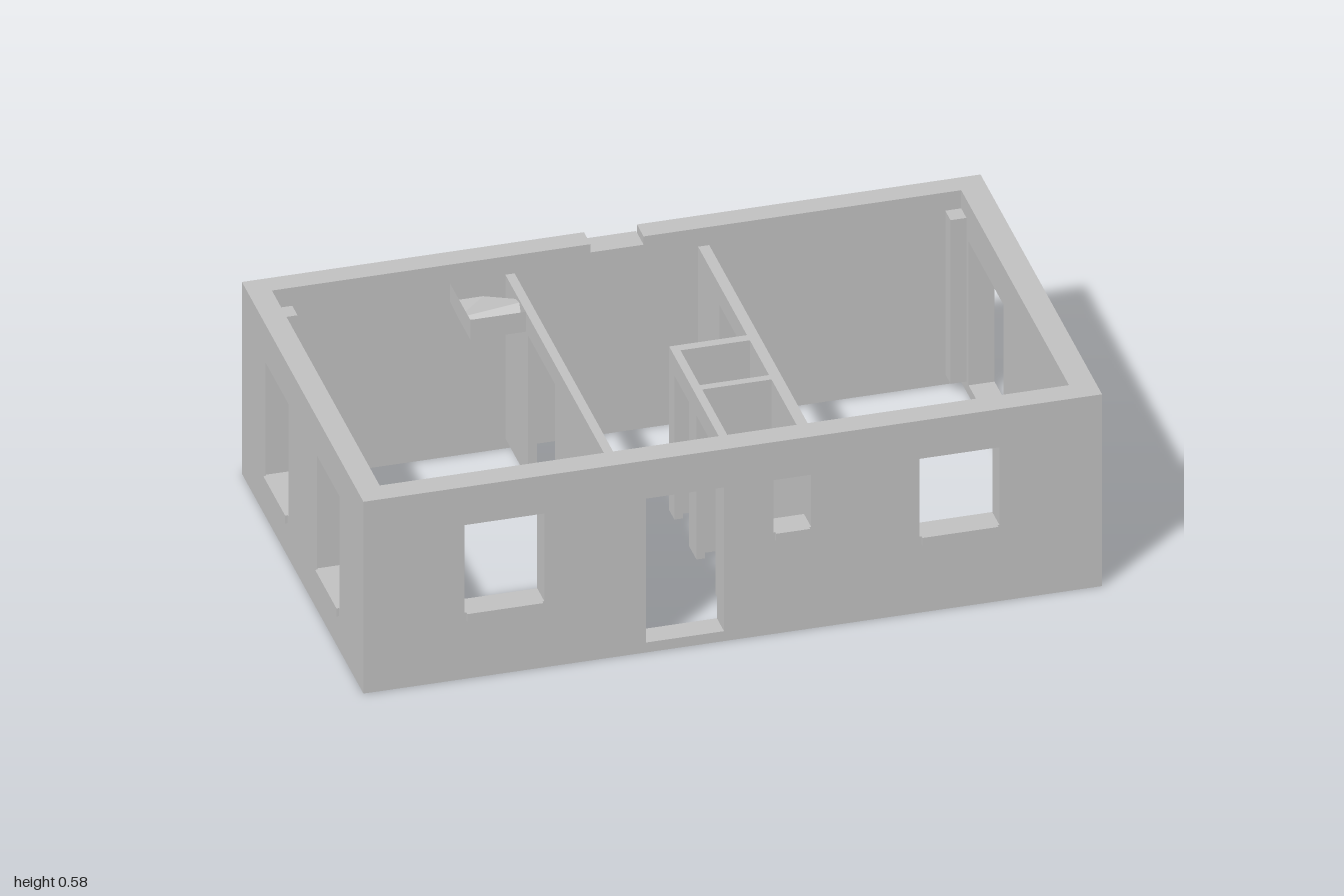
import * as THREE from 'three';

export function createModel() {
  const model = new THREE.Group();
  model.name = 'floorPlan';
  const plaster = new THREE.MeshStandardMaterial({ color: 0xc0c0c0 });
  plaster.name = 'plaster';
  const plasterSheet = new THREE.MeshStandardMaterial({ color: 0xc0c0c0, side: THREE.DoubleSide });
  plasterSheet.name = 'plasterSheet';

  const add = (name, geometry, material = plaster) => {
    const mesh = new THREE.Mesh(geometry, material);
    mesh.name = name;
    model.add(mesh);
  };

  const box = (name, x0, x1, y0, y1, z0, z1) => {
    const g = new THREE.BoxGeometry(x1 - x0, y1 - y0, z1 - z0);
    add(name, g.translate((x0 + x1) / 2, (y0 + y1) / 2, (z0 + z1) / 2));
  };

  // Wall running along 'x' or 'z' from u0 to u1, between t0 and t1 across.
  // Openings are [u0, u1, y0, y1]; those touching the base or top become notches.
  const wall = (name, axis, [u0, u1], [y0, y1], [t0, t1], openings = []) => {
    const pts = [[u0, y0]];
    for (const [a, b, c, d] of openings.filter((o) => o[2] <= y0)) pts.push([a, y0], [a, d], [b, d], [b, y0]);
    pts.push([u1, y0], [u1, y1]);
    for (const [a, b, c] of openings.filter((o) => o[3] >= y1)) pts.push([b, y1], [b, c], [a, c], [a, y1]);
    pts.push([u0, y1]);
    const shape = new THREE.Shape(pts.map((p) => new THREE.Vector2(...p)));
    for (const [a, b, c, d] of openings.filter((o) => o[2] > y0 && o[3] < y1)) {
      shape.holes.push(new THREE.Path([[a, c], [a, d], [b, d], [b, c]].map((p) => new THREE.Vector2(...p))));
    }
    const g = new THREE.ExtrudeGeometry(shape, { depth: t1 - t0, bevelEnabled: false });
    if (axis === 'x') g.translate(0, 0, t0);
    else g.rotateY(-Math.PI / 2).translate(t1, 0, 0);
    add(name, g);
  };

  const H = 0.58, HEAD = 0.465, FLOOR = 0.03, TOP = 0.525;
  const outer = [0, H], inner = [FLOOR, TOP];

  // Outer walls with windows and doors
  const frontWindows = [[-0.72, -0.505, 0.2], [0.113, 0.215, 0.307], [0.508, 0.723, 0.23]];
  const sideWindows = [[-0.355, -0.137, 0.125], [0.137, 0.352, 0.125]];
  const toOpening = ([a, b, y]) => [a, b, y, HEAD];
  wall('frontWall', 'x', [-0.993, 1], outer, [0.51, 0.578],
    [...frontWindows.map(toOpening), [-0.23, -0.02, FLOOR, HEAD]]);
  wall('backWall', 'x', [-0.993, 1], outer, [-0.578, -0.515], [[-0.07, 0.073, 0.53, H]]);
  wall('leftWall', 'z', [-0.515, 0.51], outer, [0.93, 1], [[-0.445, -0.115, FLOOR, HEAD]]);
  wall('rightWall', 'z', [-0.515, 0.51], outer, [-0.993, -0.93], sideWindows.map(toOpening));

  // Window sills projecting outside, and the ledge in the back wall notch
  for (const [a, b, y] of frontWindows) box('frontSill', a + 0.005, b - 0.005, y - 0.024, y, 0.57, 0.587);
  for (const [a, b, y] of sideWindows) box('sideSill', -1, -0.985, y - 0.024, y, a + 0.006, b - 0.006);
  box('backLedge', -0.07, 0.073, 0.53, 0.555, -0.587, -0.515);

  // Partition walls with doorways
  wall('rightPartition', 'z', [-0.515, 0.51], inner, [-0.3, -0.275], [[-0.3, -0.045, FLOOR, HEAD]]);
  wall('leftPartition', 'z', [-0.515, 0.51], inner, [0.22, 0.25], [[-0.31, -0.05, FLOOR, HEAD]]);
  wall('closetSide', 'z', [-0.05, 0.51], inner, [0.01, 0.033],
    [[0, 0.14, FLOOR, HEAD], [0.21, 0.39, FLOOR, HEAD]]);
  wall('closetBack', 'x', [0.033, 0.22], inner, [-0.05, -0.023]);
  wall('closetDivider', 'x', [0.033, 0.22], inner, [0.16, 0.183]);

  // Corner posts
  box('rightPost', -0.93, -0.875, FLOOR, TOP, -0.515, -0.465);
  box('leftPost', 0.887, 0.93, FLOOR, TOP, -0.515, -0.465);

  // Folded hood beside the right partition
  const corners = [
    [-0.45, TOP, -0.32], [-0.275, TOP, -0.32], [-0.275, HEAD, -0.335], [-0.45, HEAD, -0.435],
    [-0.45, 0.47, -0.515], [-0.36, 0.47, -0.515], [-0.275, TOP, -0.375], [-0.45, TOP, -0.515],
    [-0.45, HEAD, -0.32], [-0.275, HEAD, -0.32],
  ];
  const faces = [
    [0, 1, 2], [0, 2, 3], [3, 2, 6], [3, 6, 5], [3, 5, 4], [0, 3, 4], [0, 4, 7],
    [8, 9, 1], [8, 1, 0], [9, 2, 1], [8, 3, 2], [8, 2, 9], [0, 3, 8],
  ];
  const hood = new THREE.BufferGeometry();
  hood.setAttribute('position', new THREE.Float32BufferAttribute(faces.flat().flatMap((i) => corners[i]), 3));
  hood.computeVertexNormals();
  add('hood', hood, plasterSheet);

  return model;
}
